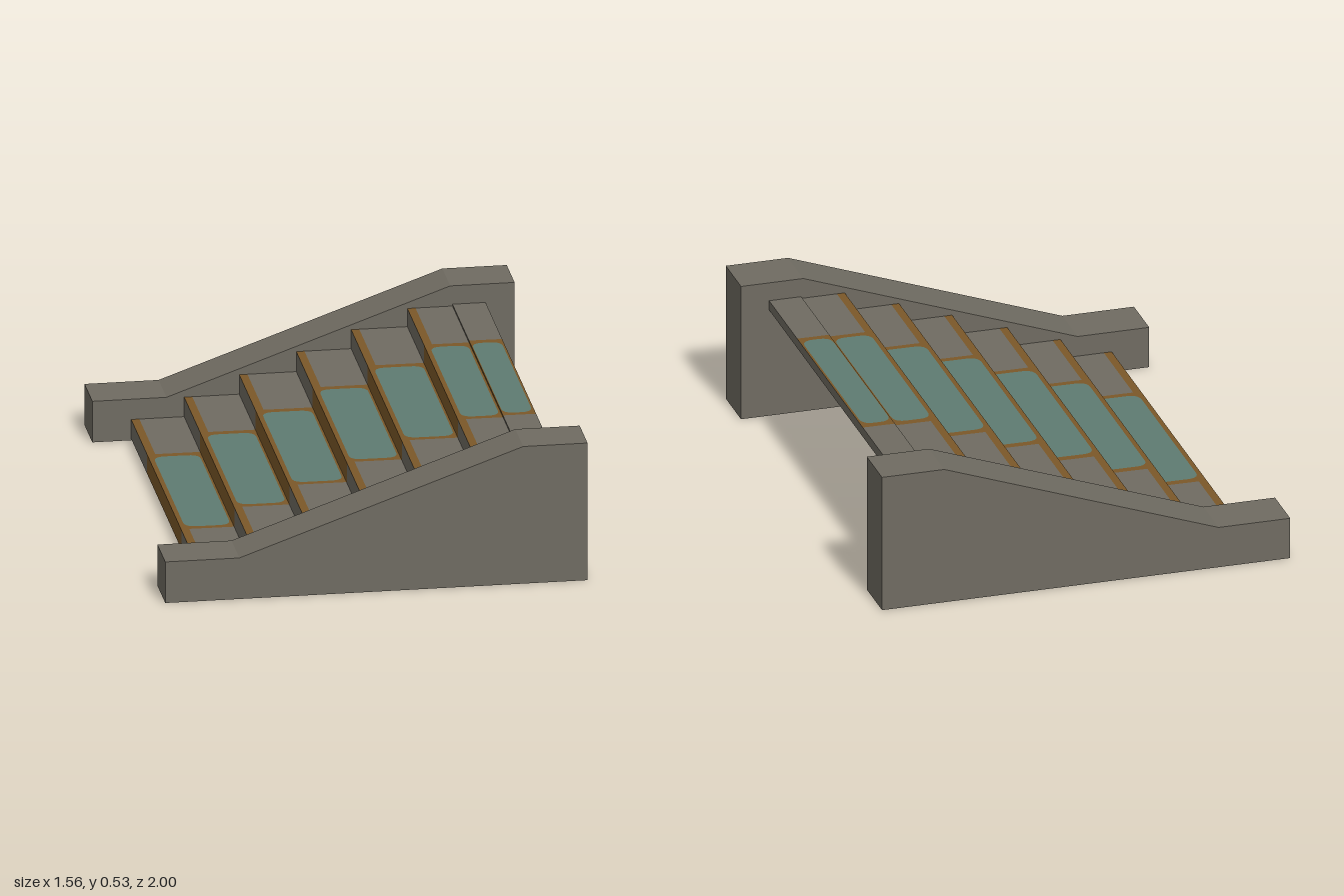
import * as THREE from 'three';

const sheet = (color) => new THREE.MeshStandardMaterial({ color, side: THREE.DoubleSide });

export function createModel() {
  const stone = sheet(0x6f6b61); stone.name = 'grey stone';
  const rust = sheet(0x7b5829); rust.name = 'rusty brown';
  const teal = sheet(0x5e7b71); teal.name = 'worn teal';

  const model = new THREE.Group();
  model.name = 'staircase';
  const Z0 = -0.84, Z1 = 0.84;      // stair width, tucked into the walls
  const M0 = -0.4, M1 = 0.43;       // painted middle band

  const add = (parent, name, geometry, material) => {
    const mesh = new THREE.Mesh(geometry, material);
    mesh.name = name;
    parent.add(mesh);
    return mesh;
  };

  // Rectangle outline with cut corners, in x and -z
  const outline = (x0, x1, z0, z1, r = 0, Type = THREE.Shape) => {
    const s = new Type(), a = -z1, b = -z0;
    s.moveTo(x0 + r, a);
    s.lineTo(x1 - r, a);
    if (r) s.quadraticCurveTo(x1, a, x1, a + r);
    s.lineTo(x1, b - r);
    if (r) s.quadraticCurveTo(x1, b, x1 - r, b);
    s.lineTo(x0 + r, b);
    if (r) s.quadraticCurveTo(x0, b, x0, b - r);
    s.lineTo(x0, a + r);
    if (r) s.quadraticCurveTo(x0, a, x0 + r, a);
    return s;
  };
  const flat = (shape, y) => new THREE.ShapeGeometry(shape, 5).rotateX(-Math.PI / 2).translate(0, y, 0);

  // Upright strip facing the foot of the stairs
  const upright = (x, y0, y1, z0, z1) =>
    new THREE.PlaneGeometry(z1 - z0, y1 - y0).rotateY(-Math.PI / 2).translate(x, (y0 + y1) / 2, (z0 + z1) / 2);

  // Tread: stone ends, rusty nosing, rust-framed teal panel
  const addTread = (parent, x0, x1, y, nose, inset) => {
    for (const [z0, z1] of [[Z0, M0], [M1, Z1]]) {
      add(parent, 'treadEnd', flat(outline(x0 + nose, x1, z0, z1), y), stone);
      if (nose) add(parent, 'treadNosing', flat(outline(x0, x0 + nose, z0, z1), y), rust);
    }
    const panel = [x0 + inset, x1 - 0.008, -0.37, 0.405, 0.045];
    const frame = outline(x0, x1, M0, M1);
    frame.holes.push(outline(...panel, THREE.Path));
    add(parent, 'panelFrame', flat(frame, y), rust);
    add(parent, 'treadPanel', flat(outline(...panel), y), teal);
  };

  const addRiser = (parent, x, y0, y1) => {
    add(parent, 'riserEnd', upright(x, y0, y1, Z0, M0), stone);
    add(parent, 'riserMiddle', upright(x, y0, y1, M0, M1 + 0.01), rust);
    add(parent, 'riserEnd', upright(x, y0, y1, M1 + 0.01, Z1), stone);
  };

  // Six steps
  const xs = [-0.635, -0.44, -0.237, -0.027, 0.175, 0.382, 0.548];
  const ys = [0.006, 0.08, 0.155, 0.23, 0.307, 0.38, 0.45];
  for (let i = 0; i < 6; i++) {
    const step = new THREE.Group();
    step.name = 'step';
    addRiser(step, xs[i], ys[i], ys[i + 1]);
    addTread(step, xs[i], xs[i + 1], ys[i + 1], 0.03, 0.018);
    model.add(step);
  }

  // Top landing with a lip at its far edge
  const landing = new THREE.Group();
  landing.name = 'landing';
  addRiser(landing, 0.548, 0.45, 0.457);
  addTread(landing, 0.548, 0.67, 0.457, 0, 0.004);
  add(landing, 'landingLip', upright(0.67, 0.42, 0.457, Z0, Z1), stone);
  model.add(landing);

  // Sloping side walls, slightly skewed in plan
  const profile = new THREE.Shape([
    [-0.778, 0], [0.777, 0], [0.777, 0.528], [0.54, 0.528], [-0.505, 0.158], [-0.778, 0.158],
  ].map(([x, y]) => new THREE.Vector2(x, y)));
  for (const [name, z] of [['frontWall', 0.793], ['backWall', -0.99]]) {
    const g = new THREE.ExtrudeGeometry(profile, { depth: 0.193, bevelEnabled: false });
    const p = g.attributes.position;
    for (let i = 0; i < p.count; i++) p.setZ(i, p.getZ(i) + z - 0.013 * p.getX(i));
    g.computeVertexNormals();
    add(model, name, g, stone);
  }
  return model;
}
